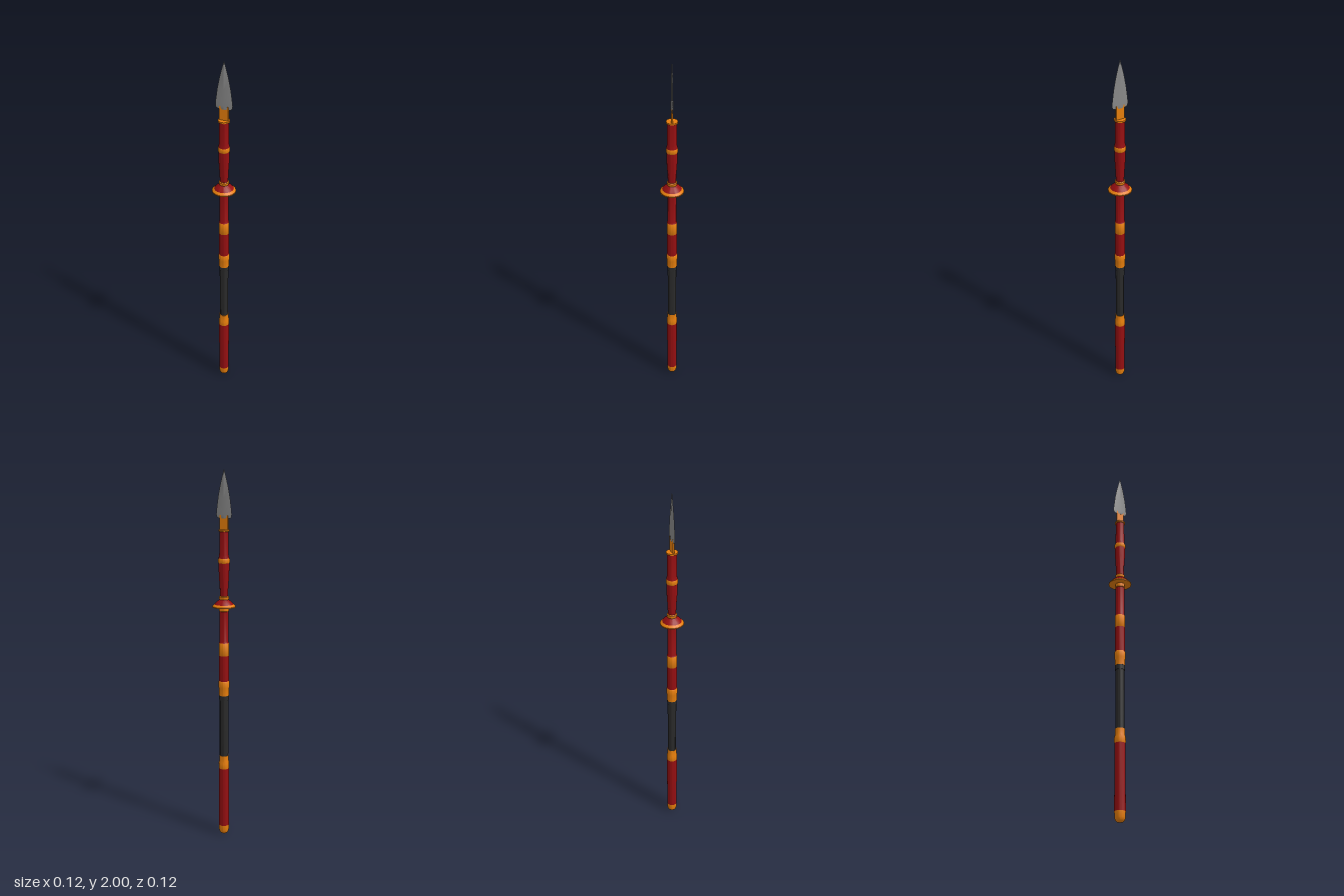
import * as THREE from 'three';
import { toCreasedNormals } from 'three/addons/utils/BufferGeometryUtils.js';

const material = (color) => new THREE.MeshStandardMaterial({ color });
const gold = material(0xe67e0c);
const red = material(0x950f11);
const black = material(0x2a2a2a);
const steel = material(0x888888);

// Turned sections from the butt upwards: name, material, [radius, height] profile
const sections = [
  ['buttCap', gold, [[0, 0], [0.014, 0.003], [0.023, 0.011], [0.027, 0.025], [0.028, 0.055]]],
  ['lowerShaft', red, [[0.028, 0.055], [0.028, 0.395]]],
  ['lowerGripCollar', gold, [[0.028, 0.395], [0.029, 0.4], [0.029, 0.425], [0.025, 0.44], [0.025, 0.47], [0.0235, 0.47]]],
  ['grip', black, [[0.0235, 0.47], [0.0235, 0.79], [0.026, 0.79], [0.026, 0.815]]],
  ['upperGripCollar', gold, [[0.026, 0.815], [0.027, 0.815], [0.027, 0.85], [0.029, 0.86], [0.029, 0.89], [0.0265, 0.895]]],
  ['middleShaft', red, [[0.0265, 0.895], [0.0265, 1.035]]],
  ['middleBand', gold, [[0.0265, 1.035], [0.0275, 1.037], [0.0275, 1.103], [0.0265, 1.105]]],
  ['shaftBelowGuard', red, [[0.0265, 1.105], [0.0235, 1.11], [0.0235, 1.275]]],
  ['guardCollar', gold, [[0.0235, 1.275], [0.026, 1.277], [0.026, 1.297]]],
  ['guardRim', gold, [[0.026, 1.297], [0.062, 1.297], [0.061, 1.302], [0.05, 1.312]]],
  ['guardDome', red, [[0.05, 1.312], [0.042, 1.322], [0.031, 1.331], [0.024, 1.337]]],
  ['guardTopRing', gold, [[0.024, 1.337], [0.026, 1.341], [0.026, 1.352], [0.021, 1.356]]],
  ['neckShaft', red, [[0.021, 1.356], [0.022, 1.39], [0.027, 1.47], [0.028, 1.527]]],
  ['neckRing', gold, [[0.028, 1.527], [0.03, 1.53], [0.03, 1.547], [0.028, 1.552]]],
  ['upperShaft', red, [[0.028, 1.552], [0.0245, 1.57], [0.0235, 1.69]]],
  ['headSocket', gold, [[0.0235, 1.688], [0.029, 1.69], [0.029, 1.698], [0, 1.698]]],
];

// Diamond cross-sections lofted upwards: rows of [height, half width, half thickness]
function diamondLoft(rows) {
  const geometry = new THREE.CylinderGeometry(1, 1, 1, 4, rows.length - 1);
  const position = geometry.attributes.position;
  for (let i = 0; i < position.count; i++) {
    const row = rows[Math.round((position.getY(i) + 0.5) * (rows.length - 1))];
    position.setXYZ(i, position.getX(i) * row[1], row[0], position.getZ(i) * row[2]);
  }
  return toCreasedNormals(geometry, 0.3);
}

export function createModel() {
  const group = new THREE.Group();
  const add = (name, geometry, mat) => {
    const mesh = new THREE.Mesh(geometry, mat);
    mesh.name = name;
    group.add(mesh);
  };

  for (const [name, mat, profile] of sections) {
    const points = profile.map(([r, y]) => new THREE.Vector2(r, y));
    add(name, toCreasedNormals(new THREE.LatheGeometry(points, 32), 0.6), mat);
  }

  // Flat tang between socket and blade
  const tang = new THREE.BoxGeometry(0.046, 0.075, 0.008);
  tang.translate(0, 1.733, 0);
  add('tang', tang, gold);

  // Leaf-shaped blade with a low central ridge
  add('blade', diamondLoft([
    [1.755, 0.034, 0.006],
    [1.762, 0.042, 0.0065],
    [1.775, 0.0445, 0.0065],
    [1.8, 0.042, 0.006],
    [1.86, 0.034, 0.005],
    [1.92, 0.022, 0.004],
    [1.97, 0.009, 0.003],
    [2, 0.0005, 0.0005],
  ]), steel);

  return group;
}
